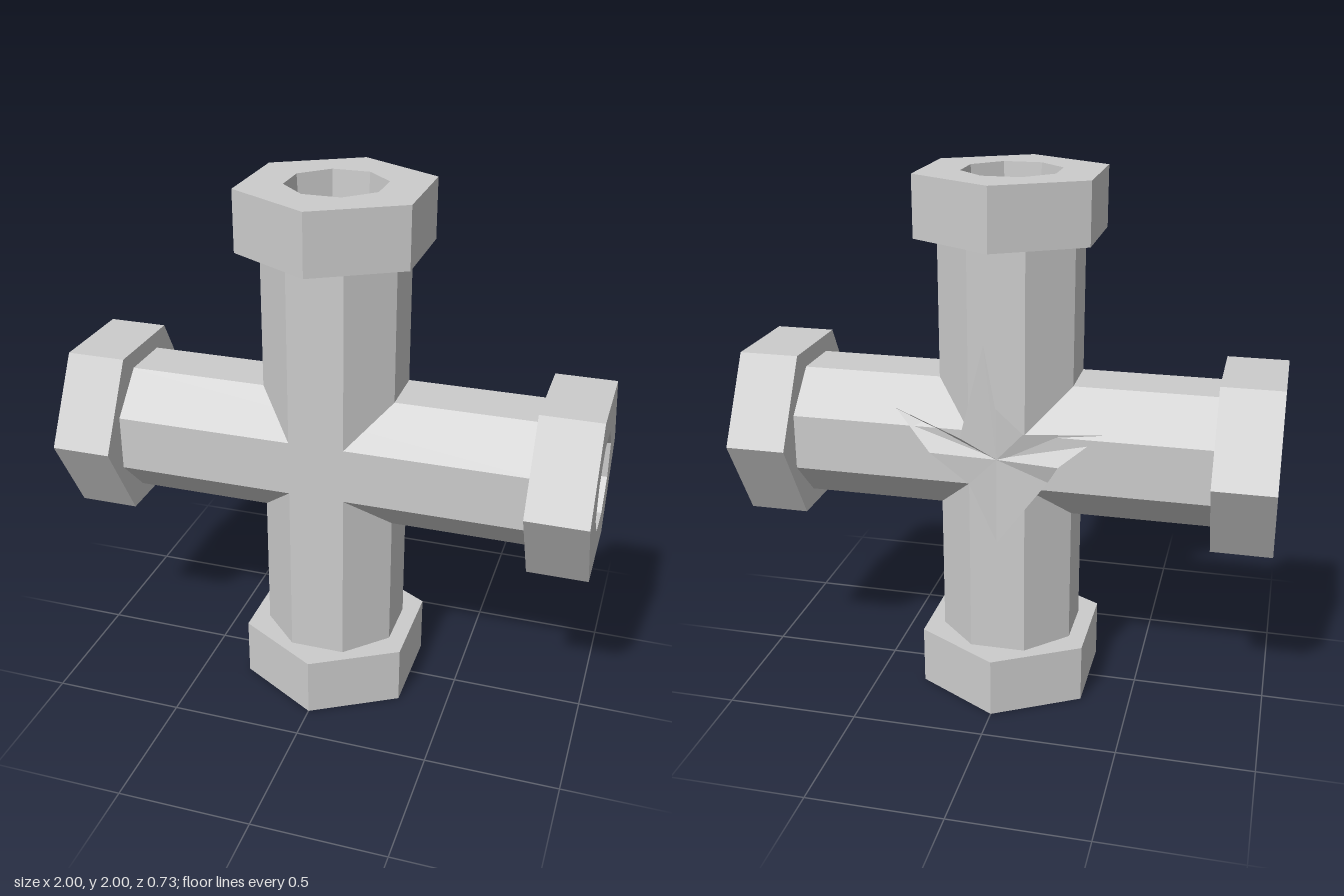
import * as THREE from 'three';

const FLAT = Math.cos(Math.PI / 8); // apothem / circumradius of an octagon
const FLANGE_H = 0.225, BORE_DEPTH = 0.18;

function polygon(sides, radius, start, PathType) {
  const pts = [];
  for (let i = 0; i < sides; i++) {
    const a = start + (i / sides) * Math.PI * 2;
    pts.push(new THREE.Vector2(Math.cos(a) * radius, Math.sin(a) * radius));
  }
  return new PathType(pts);
}

export function createModel() {
  const model = new THREE.Group();
  model.name = 'pipeCross';
  const grey = new THREE.MeshStandardMaterial({ color: 0xcccccc, flatShading: true });
  const inner = new THREE.MeshStandardMaterial({ color: 0xcccccc, flatShading: true, side: THREE.BackSide });
  const thin = new THREE.MeshStandardMaterial({ color: 0xcccccc, flatShading: true, side: THREE.DoubleSide });

  const body = new THREE.Group();
  body.name = 'body';
  body.position.y = 1;
  model.add(body);
  const add = (parent, name, geometry, material) => {
    const mesh = new THREE.Mesh(geometry, material);
    mesh.name = name;
    parent.add(mesh);
    return mesh;
  };

  // Two crossing octagonal pipes; their ends form the floors of the bores
  const pipeGeo = new THREE.CylinderGeometry(0.25 / FLAT, 0.25 / FLAT, 2 * (1 - BORE_DEPTH), 8, 1, false, Math.PI / 8);
  add(body, 'verticalPipe', pipeGeo, grey);
  add(body, 'horizontalPipe', pipeGeo, grey).rotation.z = Math.PI / 2;

  // Hexagonal flange with an octagonal opening
  const hex = polygon(6, 0.363, Math.PI / 2, THREE.Shape);
  hex.holes.push(polygon(8, 0.17 / FLAT, Math.PI / 8, THREE.Path));
  const flangeGeo = new THREE.ExtrudeGeometry(hex, { depth: FLANGE_H, bevelEnabled: false });
  flangeGeo.rotateX(-Math.PI / 2).translate(0, 1 - FLANGE_H, 0);

  // Slightly tapered bore wall
  const boreGeo = new THREE.CylinderGeometry(0.17 / FLAT, 0.16 / FLAT, BORE_DEPTH, 8, 1, true, Math.PI / 8);
  boreGeo.translate(0, 1 - BORE_DEPTH / 2, 0);

  ['top', 'right', 'bottom', 'left'].forEach((side, i) => {
    const end = new THREE.Group();
    end.name = side + 'End';
    end.rotation.z = (-i * Math.PI) / 2;
    if (side === 'right') end.name = 'leftEnd'; // +x is the model's own left
    if (side === 'left') end.name = 'rightEnd';
    add(end, 'flange', flangeGeo, grey);
    add(end, 'bore', boreGeo, inner);
    body.add(end);
  });

  // Torn metal at the back: a jagged star with bent-up edges
  const rim = [
    [0.38, 0.16, -0.23], [0.13, 0.08, -0.275], [0.045, 0.43, -0.255], [0.0, 0.2, -0.265],
    [-0.1, 0.11, -0.265], [-0.38, 0.12, -0.235], [-0.23, 0.0, -0.28], [-0.19, -0.07, -0.255],
    [0.0, -0.33, -0.253], [0.1, -0.1, -0.265], [0.24, 0.02, -0.288],
  ];
  const pos = [];
  rim.forEach((p, i) => pos.push(0, 0, -0.252, ...p, ...rim[(i + 1) % rim.length]));
  const tearGeo = new THREE.BufferGeometry();
  tearGeo.setAttribute('position', new THREE.Float32BufferAttribute(pos, 3));
  tearGeo.computeVertexNormals();
  add(body, 'tornMetal', tearGeo, thin);

  return model;
}
